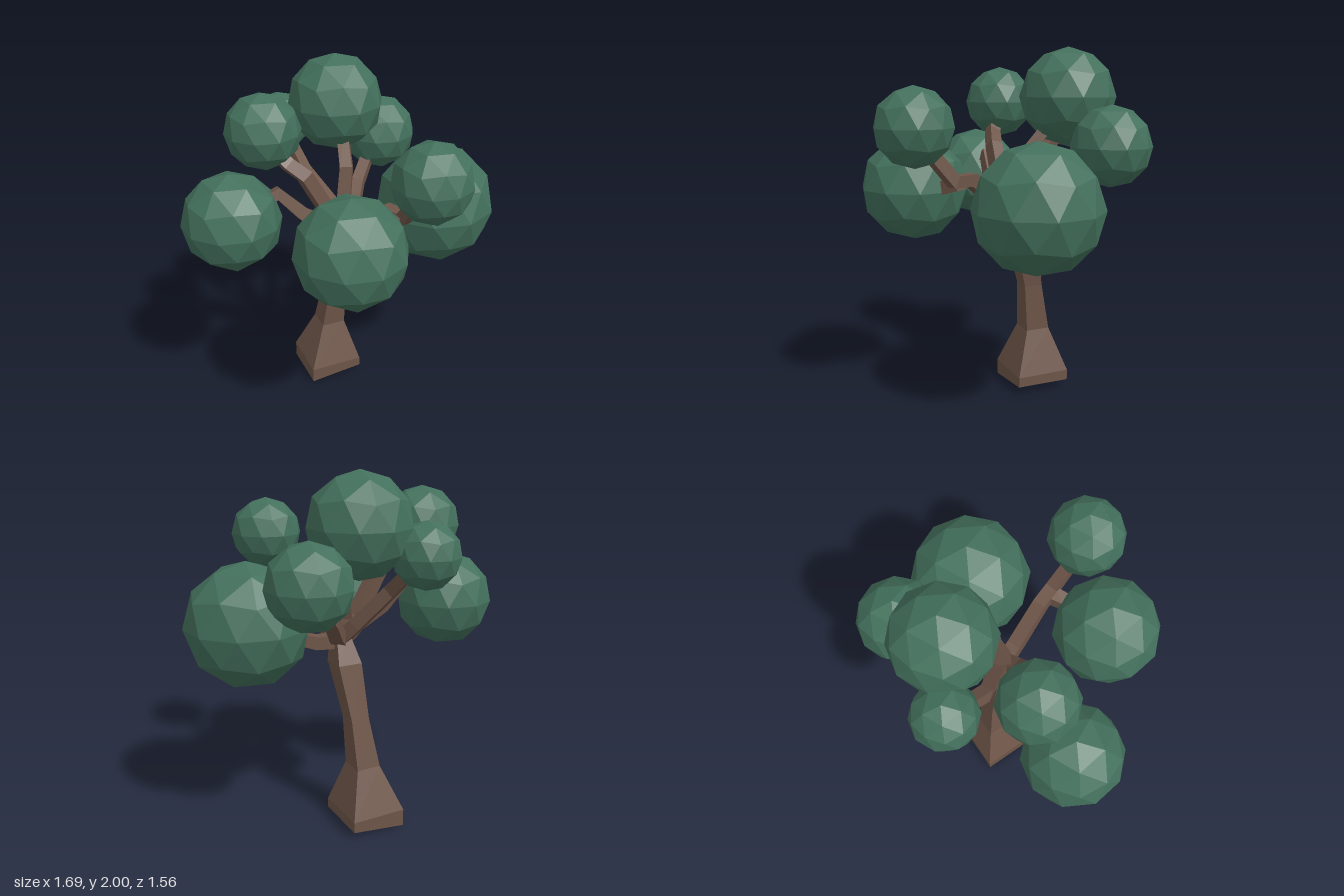
import * as THREE from 'three';

const bark = new THREE.MeshStandardMaterial({ color: 0x6e5548, flatShading: true });
const leaf = new THREE.MeshStandardMaterial({ color: 0x43705c, flatShading: true });
const V = (x, y, z) => new THREE.Vector3(x, y, z);

// Skins four-cornered rings (counter-clockwise seen against the path) and caps both ends
function loft(rings) {
  const pos = [];
  const quad = (a, b, c, d) => [a, b, c, a, c, d].forEach(p => pos.push(p.x, p.y, p.z));
  for (let i = 0; i < rings.length - 1; i++) {
    const lo = rings[i], hi = rings[i + 1];
    for (let k = 0; k < 4; k++) {
      const n = (k + 1) % 4;
      quad(lo[k], lo[n], hi[n], hi[k]);
    }
  }
  const first = rings[0], last = rings[rings.length - 1];
  quad(first[3], first[2], first[1], first[0]);
  quad(last[0], last[1], last[2], last[3]);
  const geo = new THREE.BufferGeometry();
  geo.setAttribute('position', new THREE.Float32BufferAttribute(pos, 3));
  geo.computeVertexNormals();
  return geo;
}

// Square ring around c, spanned by directions u and v
function ring(c, u, v, half) {
  return [[-1, -1], [1, -1], [1, 1], [-1, 1]].map(([a, b]) =>
    c.clone().addScaledVector(u, a * half).addScaledVector(v, b * half));
}

// Square limb swept along points, tapering from w0 to w1
function limb(points, w0, w1) {
  const pts = points.map(p => V(...p));
  const n = pts.length;
  let u = null;
  return loft(pts.map((p, i) => {
    const t = pts[Math.min(i + 1, n - 1)].clone().sub(pts[Math.max(i - 1, 0)]).normalize();
    if (!u) u = V(0, 1, 0).cross(t);
    u.addScaledVector(t, -u.dot(t)).normalize();
    const v = t.clone().cross(u);
    return ring(p, u, v, THREE.MathUtils.lerp(w0, w1, i / (n - 1)) / 2);
  }));
}

export function createModel() {
  const tree = new THREE.Group();
  tree.name = 'tree';
  const add = (geo, mat, name) => {
    const m = new THREE.Mesh(geo, mat);
    m.name = name;
    tree.add(m);
    return m;
  };

  // Leaning trunk with a flared, slightly tilted foot: x, y, z, side
  const yaw = 0.28;
  const u = V(Math.cos(yaw), 0, Math.sin(yaw));
  const v = V(Math.sin(yaw), 0, -Math.cos(yaw));
  const trunk = [
    [0.02, 0.023, -0.26, 0.32],
    [0.02, 0.1, -0.26, 0.32],
    [0.035, 0.36, -0.25, 0.142],
    [0.05, 0.64, -0.207, 0.108],
    [0.062, 0.95, -0.128, 0.14],
    [0.06, 1.12, -0.085, 0.075],
  ].map(([x, y, z, s]) => ring(V(x, y, z), u, v, s / 2));
  trunk[0].forEach((p, k) => { p.y += [-0.013, 0.02, 0.016, -0.023][k]; });
  add(loft(trunk), bark, 'trunk');

  // Limbs, each bending outward from the crown of the trunk
  const hub = [0.06, 1.07, -0.09];
  const limbs = {
    rightLowLimb: [hub, [-0.08, 1.14, -0.08], [-0.22, 1.23, -0.14], [-0.34, 1.37, -0.2], [-0.5, 1.28, -0.27]],
    rightHighLimb: [hub, [-0.06, 1.18, -0.09], [-0.2, 1.45, -0.14], [-0.27, 1.52, -0.19], [-0.33, 1.62, -0.28]],
    backLimb: [hub, [0.03, 1.17, -0.19], [-0.05, 1.37, -0.36], [-0.04, 1.55, -0.56]],
    topLimb: [hub, [0.04, 1.2, -0.11], [0.09, 1.42, -0.14], [0.17, 1.62, -0.28]],
    leftHighLimb: [hub, [0.14, 1.12, -0.15], [0.28, 1.24, -0.26], [0.46, 1.42, -0.34]],
    leftLowLimb: [hub, [0.18, 1.065, -0.03], [0.4, 1.14, 0.1]],
    frontLimb: [hub, [0.06, 1.13, 0.02], [0.06, 1.3, 0.23], [0.07, 1.3, 0.35], [0.05, 1.42, 0.45], [0.035, 1.54, 0.54]],
    frontSideLimb: [[0.06, 1.29, 0.31], [-0.02, 1.26, 0.34], [-0.2, 1.24, 0.36]],
  };
  for (const [name, pts] of Object.entries(limbs)) add(limb(pts, 0.082, 0.062), bark, name);

  // Faceted leaf clumps: x, y, z, radius
  const ball = new THREE.IcosahedronGeometry(1, 1);
  ball.rotateX(-Math.atan((1 + Math.sqrt(5)) / 2));
  [
    [-0.575, 1.24, -0.3, 0.272],
    [-0.342, 1.69, -0.305, 0.206],
    [-0.027, 1.59, -0.61, 0.174],
    [0.188, 1.73, -0.357, 0.272],
    [0.52, 1.475, -0.357, 0.221],
    [0.505, 1.19, 0.155, 0.342],
    [-0.295, 1.233, 0.36, 0.298],
    [0.037, 1.59, 0.57, 0.208],
  ].forEach(([x, y, z, r], i) => {
    const clump = add(ball, leaf, 'leafClump' + (i + 1));
    clump.position.set(x, y, z);
    clump.scale.setScalar(r);
    clump.rotation.y = 0.15;
  });

  return tree;
}
